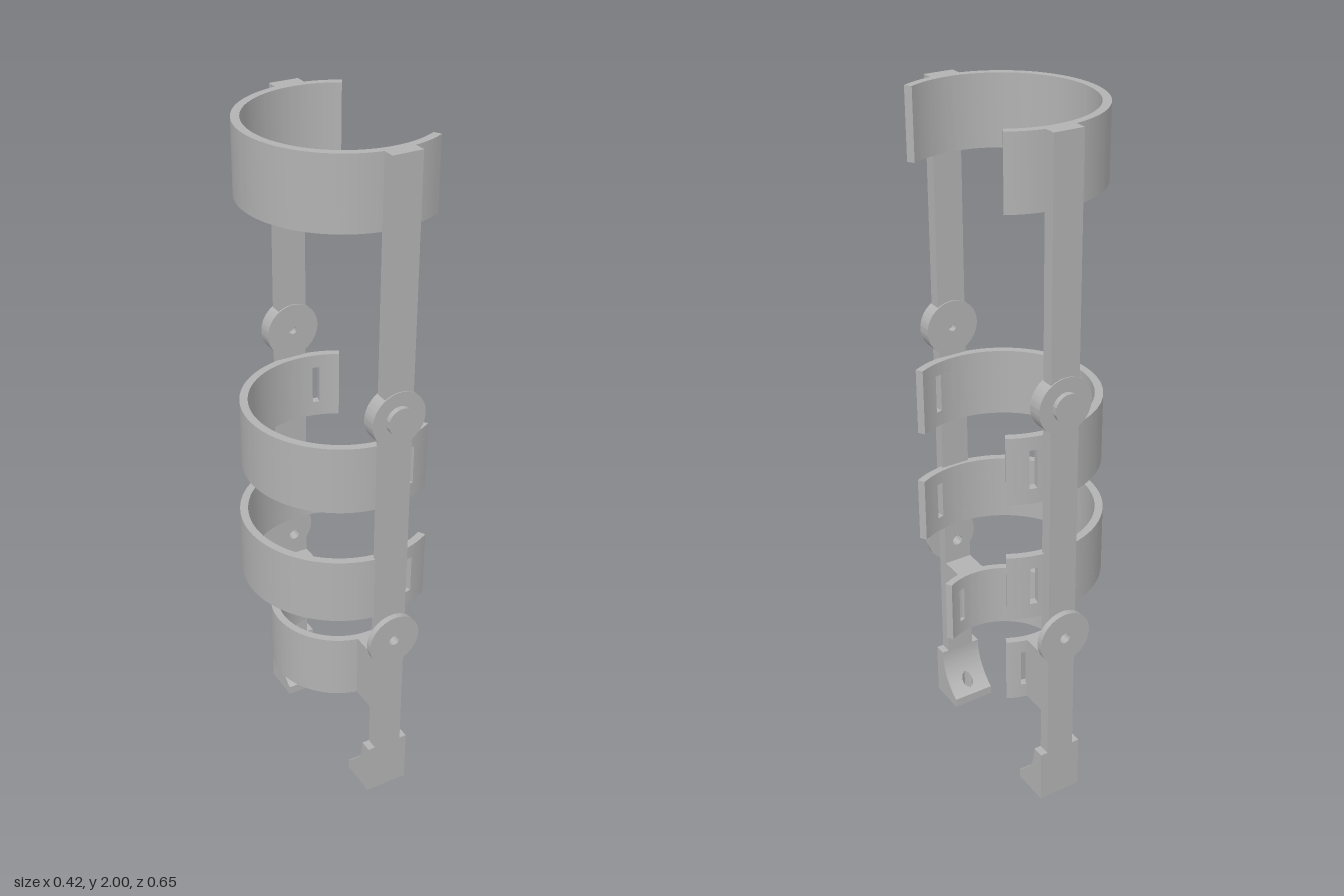
import * as THREE from 'three';
import { toCreasedNormals } from 'three/addons/utils/BufferGeometryUtils.js';

const CX = 0.07;            // axis of the bands and side bars
const BAR_IN = 0.27, BAR_OUT = 0.306, BAR_HALF = 0.043;
const DEG = Math.PI / 180;

export function createModel() {
  const model = new THREE.Group();
  const grey = new THREE.MeshStandardMaterial({ color: 0xb2b2b2 });
  grey.name = 'grey';

  const add = (parent, name, geometry, x = 0, y = 0, z = 0) => {
    const mesh = new THREE.Mesh(geometry, grey);
    mesh.name = name;
    mesh.position.set(x, y, z);
    parent.add(mesh);
    return mesh;
  };

  const box = (parent, name, w, y0, y1, z0, z1) =>
    add(parent, name, new THREE.BoxGeometry(w, y1 - y0, z1 - z0), 0, (y0 + y1) / 2, (z0 + z1) / 2);

  // Extrusion towards +z, with smooth curves and sharp edges
  const extrude = (shape, depth, curveSegments = 40) => toCreasedNormals(
    new THREE.ExtrudeGeometry(shape, { depth, bevelEnabled: false, curveSegments }), 0.5);

  const circle = (r, y = 0) => new THREE.Path().absarc(0, y, r, 0, Math.PI * 2, true);

  const disc = (parent, name, r, hole, y, z0, z1) => {
    const shape = new THREE.Shape().absarc(0, 0, r, 0, Math.PI * 2, false);
    if (hole) shape.holes.push(circle(hole));
    add(parent, name, extrude(shape, z1 - z0), 0, y, z0);
  };

  // Curved cuff piece between two angles
  const arc = (parent, name, inner, outer, a0, a1, y0, y1) => {
    const shape = new THREE.Shape();
    shape.absarc(0, 0, outer, a0, a1, false);
    shape.absarc(0, 0, inner, a1, a0, true);
    shape.closePath();
    const geo = extrude(shape, y1 - y0, Math.max(3, Math.ceil((a1 - a0) * 14)));
    geo.rotateX(-Math.PI / 2);
    add(parent, name, geo, 0, y0, 0);
  };

  // Open cuffs, most with a strap slot near each end
  const cuff = (name, inner, outer, y, slotted) => {
    const group = new THREE.Group();
    group.name = name;
    group.position.set(CX, y, 0);
    model.add(group);
    const a0 = 60 * DEG, a1 = 300 * DEG, turn = 2 * Math.PI;
    if (!slotted) return arc(group, 'cuffBand', inner, outer, a0, a1, 0, 0.2);
    const half = 0.011 / outer;
    const s0 = 75.5 * DEG - half, s1 = 75.5 * DEG + half;
    arc(group, 'cuffLowerBand', inner, outer, a0, a1, 0, 0.045);
    arc(group, 'cuffUpperBand', inner, outer, a0, a1, 0.16, 0.2);
    arc(group, 'cuffTabLeft', inner, outer, a0, s0, 0.045, 0.16);
    arc(group, 'cuffMiddle', inner, outer, s1, turn - s1, 0.045, 0.16);
    arc(group, 'cuffTabRight', inner, outer, turn - s0, a1, 0.045, 0.16);
  };
  cuff('upperThighCuff', 0.252, 0.275, 1.8, false);
  cuff('lowerThighCuff', 0.252, 0.275, 1.0, true);
  cuff('calfCuff', 0.26, 0.283, 0.64, true);
  cuff('ankleCuff', 0.178, 0.2, 0.3, true);

  // Half of the foot's curved toe, cut round a vertical screw hole
  const toeHalf = (side) => {
    const R = 0.158, holeZ = 0.228, holeR = 0.017;
    const geo = new THREE.BoxGeometry(1, 1, 1, 1, 1, 40);
    const p = geo.attributes.position;
    for (let i = 0; i < p.count; i++) {
      const a = (0.5 - p.getZ(i)) * 60 * DEG;
      const z = BAR_IN - R + R * Math.cos(a);
      const w = Math.sqrt(Math.max(0, holeR ** 2 - (z - holeZ) ** 2));
      const t = p.getX(i) + 0.5;
      const x = side > 0 ? w + (0.065 - w) * t : -0.065 + (0.065 - w) * t;
      p.setXYZ(i, x, p.getY(i) < 0 ? 0 : 0.165 - R * Math.sin(a), z);
    }
    return toCreasedNormals(geo.toNonIndexed(), 0.5);
  };

  // One side upright, symmetric about its own axis
  const upright = (name, turn) => {
    const side = new THREE.Group();
    side.name = name;
    side.position.x = CX;
    side.rotation.y = turn;
    model.add(side);

    box(side, 'upperBar', BAR_HALF * 2, 1.34, 2, BAR_IN, BAR_OUT);

    // Lower bar with a pivot hole
    const bar = new THREE.Shape();
    bar.moveTo(-BAR_HALF, 0.16).lineTo(BAR_HALF, 0.16).lineTo(BAR_HALF, 1.23).lineTo(-BAR_HALF, 1.23).closePath();
    bar.holes.push(circle(0.016, 0.57));
    add(side, 'lowerBar', extrude(bar, BAR_OUT - BAR_IN), 0, 0, BAR_IN);

    // Upper hinge: two stacked plates and a cap
    disc(side, 'upperHingeInnerPlate', 0.08, 0.012, 1.287, 0.266, 0.285);
    disc(side, 'upperHingeOuterPlate', 0.08, 0, 1.287, 0.285, 0.309);
    disc(side, 'upperHingeCap', 0.04, 0, 1.287, 0.309, 0.324);

    // Lower hinge plate
    disc(side, 'lowerHingePlate', 0.08, 0.016, 0.57, BAR_OUT, 0.324);

    // Bracket reaching in to the ankle cuff
    box(side, 'ankleBracket', BAR_HALF * 2, 0.3, 0.5, 0.187, BAR_IN);

    // Foot
    box(side, 'footPlate', 0.13, 0, 0.165, BAR_IN, BAR_OUT);
    add(side, 'footToe', toeHalf(1));
    add(side, 'footToe', toeHalf(-1));
  };
  upright('frontUpright', 0);
  upright('backUpright', Math.PI);

  return model;
}
